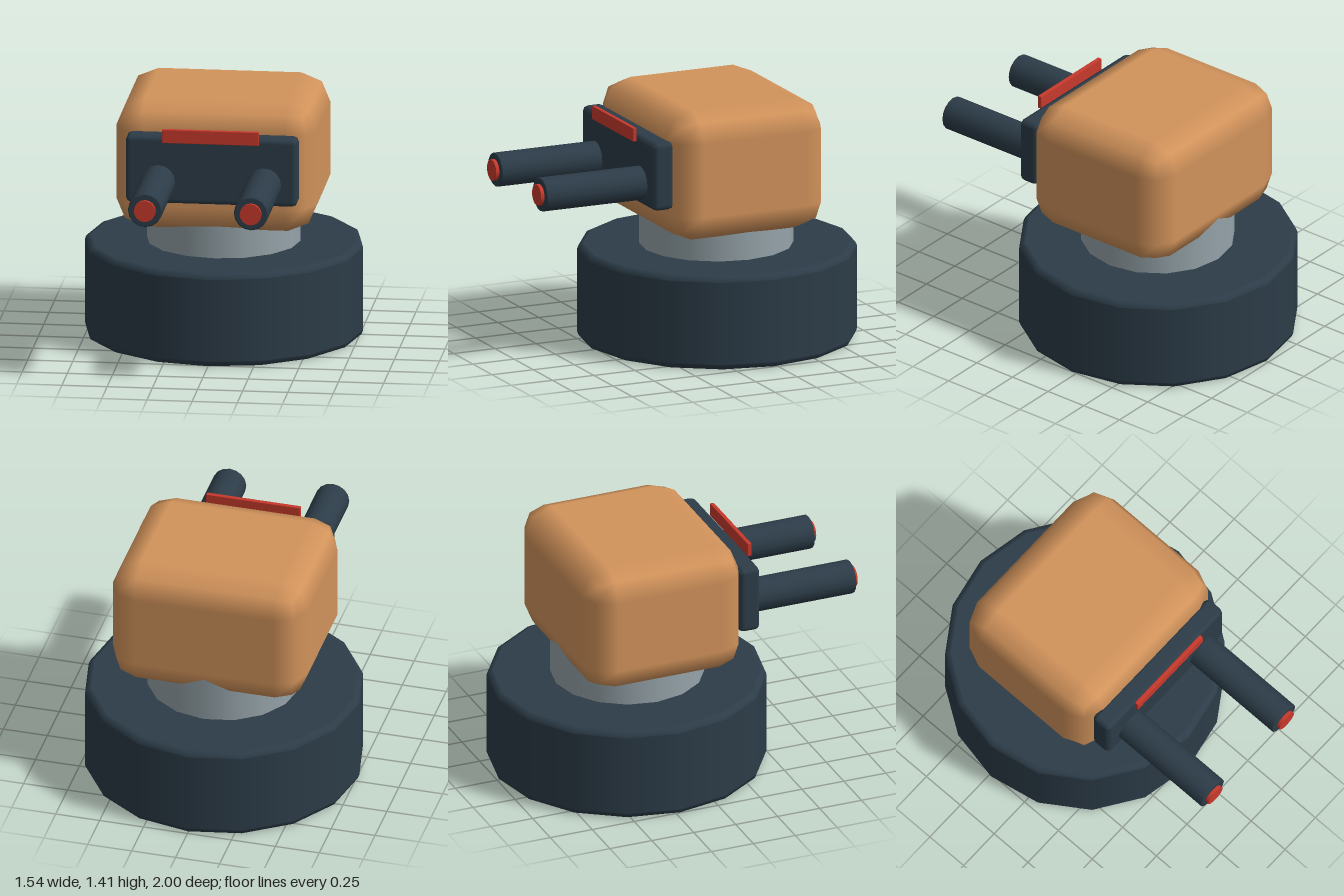
import * as THREE from 'three';
import { RoundedBoxGeometry } from 'three/addons/geometries/RoundedBoxGeometry.js';

const material = (name, color) => {
  const m = new THREE.MeshStandardMaterial({ color });
  m.name = name;
  return m;
};

// Drum with bevelled rims; support rings beside each bevel keep caps and wall even.
function drum(radius, height, bevel, sides) {
  const b = bevel, k = bevel * 0.29, e = bevel * 0.1;
  const rim = [[radius - b - e, 0], [radius - b, 0], [radius - k, k], [radius, b], [radius, b + e]];
  const profile = [[0, 0], ...rim, ...rim.map(([r, y]) => [r, height - y]).reverse(), [0, height]];
  return new THREE.LatheGeometry(profile.map(([r, y]) => new THREE.Vector2(r, y)), sides);
}

export function createModel() {
  const model = new THREE.Group();
  model.name = 'turret';
  const dark = material('darkSlate', 0x2c3c48);
  const orange = material('orangePaint', 0xd2935b);
  const grey = material('greyMetal', 0x95a3a9);
  const red = material('redGlow', 0xc8392c);

  const add = (name, geometry, mat, x, y, z) => {
    const mesh = new THREE.Mesh(geometry, mat);
    mesh.name = name;
    mesh.position.set(x, y, z);
    model.add(mesh);
    return mesh;
  };

  // Base and swivel neck
  add('base', drum(0.77, 0.53, 0.03, 16), dark, 0, 0, -0.23);
  add('neck', new THREE.CylinderGeometry(0.425, 0.425, 0.3, 16), grey, 0, 0.65, -0.225);

  // Rounded head, one bevel ring per edge
  add('head', new RoundedBoxGeometry(1.11, 0.735, 0.94, 1, 0.16), orange, 0, 1.0425, -0.2);

  // Gun plate and sight strip
  add('facePlate', new RoundedBoxGeometry(0.95, 0.385, 0.125, 1, 0.03), dark, 0, 1.07, 0.31);
  add('sightStrip', new RoundedBoxGeometry(0.535, 0.077, 0.024, 1, 0.004), red, 0, 1.271, 0.392);

  // Twin barrels with glowing muzzles
  for (const [side, x] of [['left', 0.293], ['right', -0.293]]) {
    add(side + 'Barrel', drum(0.095, 0.63, 0.006, 16), dark, x, 1.004, 0.35).rotation.x = Math.PI / 2;
    add(side + 'Muzzle', new THREE.CylinderGeometry(0.06, 0.06, 0.04, 16), red, x, 1.004, 0.98).rotation.x = Math.PI / 2;
  }
  return model;
}
